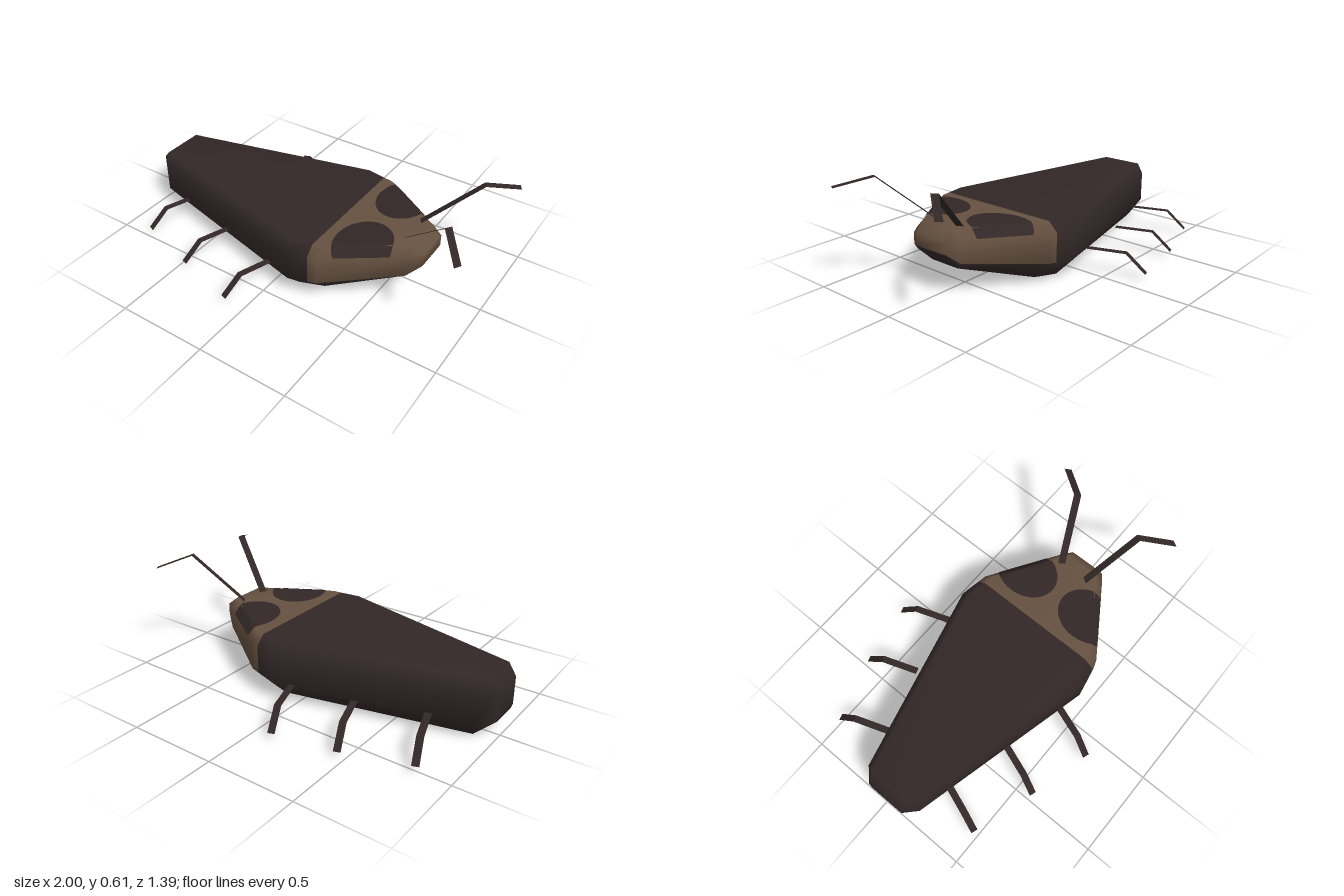
import * as THREE from 'three';

const shell = new THREE.MeshStandardMaterial({ color: 0x322727 });
shell.name = 'dark shell';
const tan = new THREE.MeshStandardMaterial({ color: 0x665140 });
tan.name = 'brown head shield';
const limb = new THREE.MeshStandardMaterial({ color: 0x322727, side: THREE.DoubleSide });
limb.name = 'dark limbs';

const MID = 0.025; // z of the body's centre line

// Cross-sections from tail to head:
// x of the bottom, sides, top | half width of them | y of bottom, low side, high side, top
const RINGS = [
  [-1, -1, -1, 0.08, 0.1, 0.08, 0.105, 0.12, 0.275, 0.285],
  [-0.89, -0.93, -0.95, 0.1, 0.165, 0.12, 0.005, 0.11, 0.28, 0.33],
  [0.12, 0.12, 0.12, 0.315, 0.425, 0.375, 0, 0.11, 0.28, 0.33],
  [0.22, 0.23, 0.23, 0.294, 0.404, 0.354, 0.014, 0.123, 0.283, 0.333],
  [0.26, 0.28, 0.28, 0.285, 0.395, 0.345, 0.02, 0.13, 0.285, 0.335],
  [0.61, 0.65, 0.65, 0.09, 0.15, 0.1, 0.13, 0.185, 0.3, 0.35],
  [0.71, 0.71, 0.71, 0.085, 0.105, 0.08, 0.235, 0.24, 0.3, 0.305],
];
const SHIELD_START = 3;

function indexed(positions, index) {
  const g = new THREE.BufferGeometry();
  g.setAttribute('position', new THREE.Float32BufferAttribute(positions, 3));
  g.setIndex(index);
  g.computeVertexNormals();
  return g;
}

// Bevelled body lofted through the rings, with the upper head in brown
function bodyGeometry() {
  const pos = [], dark = [], brown = [];
  for (const [xb, xs, xt, wb, ws, wt, yb, lo, hi, yt] of RINGS) {
    const half = [[xb, yb, wb], [xs, lo, ws], [xs, hi, ws], [xt, yt, wt]];
    for (const [x, y, w] of half) pos.push(x, y, MID + w);
    for (const [x, y, w] of half.reverse()) pos.push(x, y, MID - w);
  }
  const last = RINGS.length - 1;
  for (let i = 0; i < last; i++) {
    for (let j = 0; j < 8; j++) {
      const k = (j + 1) % 8;
      const a = i * 8 + j, b = i * 8 + k, c = b + 8, d = a + 8;
      const upper = j >= 1 && j <= 5;
      (i >= SHIELD_START && upper ? brown : dark).push(a, d, c, a, c, b);
    }
  }
  for (let k = 1; k < 7; k++) {
    dark.push(0, k, k + 1);
    brown.push(last * 8, last * 8 + k + 1, last * 8 + k);
  }
  const g = indexed(pos, [...dark, ...brown]);
  g.addGroup(0, dark.length, 0);
  g.addGroup(dark.length, brown.length, 1);
  return g;
}

// Oval marking laid over the head's top and bevel, trimmed at its edge
function spotGeometry(side) {
  const rows = 12, cols = 48, pos = [], index = [];
  const lerp = THREE.MathUtils.lerp;
  const [, , , , ws0, wt0, , , hi0, yt0] = RINGS[4];
  const [, , , , ws1, wt1, , , hi1, yt1] = RINGS[5];
  for (let r = 0; r <= rows; r++) {
    for (let c = 0; c <= cols; c++) {
      const a = (c / cols) * Math.PI * 2, s = r / rows;
      const x = 0.435 + 0.145 * s * Math.cos(a);
      const t = (x - 0.28) / 0.37;
      const ws = lerp(ws0, ws1, t), wt = lerp(wt0, wt1, t);
      const w = Math.min(0.215 + 0.18 * s * Math.sin(a), ws);
      const drop = Math.max(0, (w - wt) / (ws - wt));
      const y = lerp(lerp(yt0, yt1, t), lerp(hi0, hi1, t), drop);
      pos.push(x, y + 0.005, MID + side * w);
    }
  }
  for (let r = 0; r < rows; r++) {
    for (let c = 0; c < cols; c++) {
      const a = r * (cols + 1) + c, b = a + 1, d = a + cols + 1, e = d + 1;
      if (side > 0) index.push(a, b, e, a, e, d);
      else index.push(a, e, b, a, d, e);
    }
  }
  return indexed(pos, index);
}

// Flat jointed strip along a path, spread by a half-width vector
function ribbonGeometry(path, hx, hz) {
  const pos = [], index = [];
  for (let i = 0; i < path.length - 1; i++) {
    for (const [x, y, z] of [path[i], path[i + 1]]) {
      pos.push(x - hx, y, z - hz, x + hx, y, z + hz);
    }
    const a = i * 4;
    // wind every strip so that its front looks upward
    const dx = path[i + 1][0] - path[i][0], dz = path[i + 1][2] - path[i][2];
    if (dz * hx - dx * hz > 0) index.push(a, a + 2, a + 3, a, a + 3, a + 1);
    else index.push(a, a + 3, a + 2, a, a + 1, a + 3);
  }
  return indexed(pos, index);
}

export function createModel() {
  const model = new THREE.Group();
  model.name = 'beetle';
  const add = (name, geometry, material) => {
    const mesh = new THREE.Mesh(geometry, material);
    mesh.name = name;
    model.add(mesh);
  };

  add('body', bodyGeometry(), [shell, tan]);

  for (const side of [1, -1]) {
    const label = side > 0 ? 'right' : 'left';
    add(label + 'HeadSpot', spotGeometry(side), shell);

    // Bent antenna
    const feeler = [[0.59, 0.345, 0.08], [0.86, 0.605, 0.205], [0.988, 0.547, 0.365]]
      .map(([x, y, z]) => [x, y, 0.01 + side * z]);
    add(label + 'Antenna', ribbonGeometry(feeler, -0.01, side * 0.017), limb);

    // Three legs: a level thigh, then a shin sloping to the foot
    const feet = side > 0
      ? [[-0.115, 0.685], [-0.465, 0.59], [-0.82, 0.475]]
      : [[-0.115, 0.69], [-0.465, 0.63], [-0.82, 0.515]];
    feet.forEach(([x, z], i) => {
      const leg = [[x + 0.105, 0.135, side * (z - 0.295)],
        [x + 0.036, 0.135, side * (z - 0.1)], [x, 0.035, side * z]];
      const name = label + ['Front', 'Middle', 'Rear'][i] + 'Leg';
      add(name, ribbonGeometry(leg, 0.018, side * 0.006), limb);
    });
  }
  return model;
}
